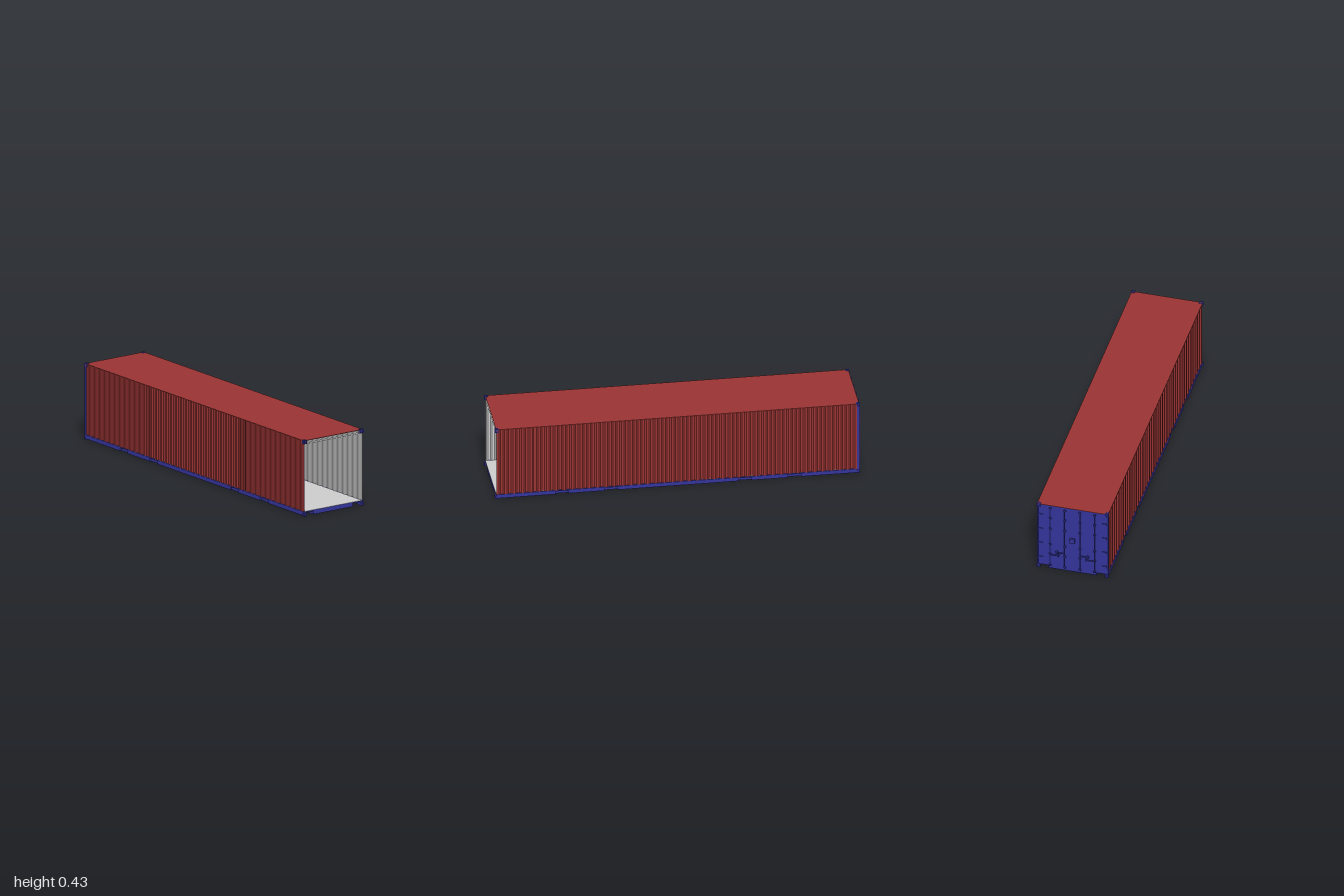
import * as THREE from 'three';

const mat = (color, side = THREE.FrontSide) => new THREE.MeshStandardMaterial({ color, side, flatShading: true });
const red = mat(0x993333), blue = mat(0x333399), grey = mat(0xcccccc);

function add(parent, name, geometry, material) {
  const mesh = new THREE.Mesh(geometry, material);
  mesh.name = name;
  parent.add(mesh);
  return mesh;
}

// Box given by its limits on each axis
function box(parent, name, [x0, x1], [y0, y1], [z0, z1], material = blue) {
  const mesh = add(parent, name, new THREE.BoxGeometry(Math.abs(x1 - x0), y1 - y0, z1 - z0), material);
  mesh.position.set((x0 + x1) / 2, (y0 + y1) / 2, (z0 + z1) / 2);
  return mesh;
}

// Upright folded sheet following [x, z] points
function sheet(points, y0, y1, flip) {
  const pos = [];
  for (let i = 0; i < points.length - 1; i++) {
    const [a, b] = flip ? [points[i + 1], points[i]] : [points[i], points[i + 1]];
    const A = [a[0], y0, a[1]], B = [b[0], y0, b[1]], C = [b[0], y1, b[1]], D = [a[0], y1, a[1]];
    pos.push(...A, ...B, ...C, ...A, ...C, ...D);
  }
  const g = new THREE.BufferGeometry();
  g.setAttribute('position', new THREE.Float32BufferAttribute(pos, 3));
  g.computeVertexNormals();
  return g;
}

// Corrugated side wall: red outside, grey inside
function sideWall(name) {
  const wall = new THREE.Group();
  wall.name = name;
  const ridges = 44, pitch = 1.984 / (ridges - 0.4), outer = 0.1985, inner = 0.192;
  const points = [];
  for (let i = 0; i < ridges; i++) {
    const z = 0.992 - i * pitch;
    points.push([outer, z], [outer, z - pitch * 0.3], [inner, z - pitch * 0.5]);
    points.push([inner, i < ridges - 1 ? z - pitch * 0.8 : z - pitch * 0.6]);
  }
  add(wall, 'wallOutside', sheet(points, 0.024, 0.422, false), red);
  add(wall, 'wallInside', sheet(points.map(([x, z]) => [x - 0.0006, z]), 0.024, 0.422, true), grey);
  return wall;
}

// Corner casting: solid core with a slotted plate on each outer face
function cornerFitting(sx, sy, sz) {
  const g = new THREE.Group();
  g.name = 'cornerFitting';
  const s = 0.02, t = 0.004, h = s / 2;
  const shape = new THREE.Shape([[-h, -h], [h, -h], [h, h], [-h, h]].map(p => new THREE.Vector2(...p)));
  const slot = new THREE.Path();
  slot.absellipse(0, 0, 0.0042, 0.0065, 0, Math.PI * 2, true);
  shape.holes.push(slot);
  const plate = new THREE.ExtrudeGeometry(shape, { depth: t, bevelEnabled: false, curveSegments: 6 });
  plate.translate(0, 0, -t / 2);
  const core = add(g, 'fittingCore', new THREE.BoxGeometry(s - t, s - t, s - t), blue);
  core.position.set(-sx * t / 2, -sy * t / 2, -sz * t / 2);
  const off = h - t / 2;
  add(g, 'fittingEndPlate', plate, blue).position.z = sz * off;
  const side = add(g, 'fittingSidePlate', plate, blue);
  side.rotation.y = Math.PI / 2;
  side.position.x = sx * off;
  const cap = add(g, 'fittingCapPlate', plate, blue);
  cap.rotation.x = Math.PI / 2;
  cap.position.y = sy * off;
  g.position.set(sx * 0.19, sy > 0 ? 0.415 : 0.01, sz > 0 ? 0.99 : -0.982);
  return g;
}

function underframe() {
  const g = new THREE.Group();
  g.name = 'underframe';
  box(g, 'deck', [-0.193, 0.193], [0.02, 0.0255], [-0.985, 0.993]);
  box(g, 'floor', [-0.192, 0.192], [0.0255, 0.0265], [-0.978, 0.993], grey);
  box(g, 'centreBed', [-0.134, 0.134], [0.001, 0.02], [-0.985, 0.993]);
  for (const s of [-1, 1]) {
    // Beds leave open recesses at both ends and at the middle
    for (const z of [[-0.9, -0.07], [0.09, 0.91]]) {
      box(g, 'sideBed', [s * 0.134, s * 0.18], [0.001, 0.02], z);
    }
    // Side rail with shallow fork pockets
    const cuts = [-0.972, -0.67, -0.6, -0.4, -0.33, 0.33, 0.4, 0.6, 0.67, 0.98];
    for (let i = 0; i < cuts.length - 1; i++) {
      const pocket = i % 2 === 1;
      box(g, pocket ? 'forkPocket' : 'bottomRail', [s * 0.18, s * (pocket ? 0.19 : 0.199)], [0.003, 0.0205],
        [cuts[i], cuts[i + 1]]);
    }
    box(g, 'railTop', [s * 0.18, s * 0.199], [0.0205, 0.0255], [-0.985, 0.993]);
  }
  return g;
}

function doorEnd() {
  const g = new THREE.Group();
  g.name = 'doorEnd';
  box(g, 'header', [-0.192, 0.192], [0.402, 0.421], [-0.988, -0.97]);
  box(g, 'sill', [-0.192, 0.192], [0.02, 0.029], [-0.988, -0.972]);
  box(g, 'doorSeal', [-0.004, 0.004], [0.029, 0.402], [-0.984, -0.977]);
  for (const s of [-1, 1]) {
    box(g, 'cornerPost', [s * 0.191, s * 0.199], [0.02, 0.406], [-0.99, -0.975]);
    box(g, 'door', [s * 0.001, s * 0.191], [0.029, 0.402], [-0.988, -0.977]);
    // Hinges
    for (const y of [0.07, 0.165, 0.26, 0.355]) {
      box(g, 'hinge', [s * 0.165, s * 0.192], [y - 0.004, y + 0.004], [-0.992, -0.987]);
      const pin = add(g, 'hingePin', new THREE.CylinderGeometry(0.003, 0.003, 0.014, 8), blue);
      pin.position.set(s * 0.191, y, -0.991);
    }
    // Locking bars with keepers and guides
    for (const x of [0.042, 0.124]) {
      const bar = add(g, 'lockingBar', new THREE.CylinderGeometry(0.0028, 0.0028, 0.39, 8), blue);
      bar.position.set(s * x, 0.216, -0.993);
      for (const y of [0.026, 0.1, 0.165, 0.27, 0.34, 0.406]) {
        box(g, 'barGuide', [s * x - 0.006, s * x + 0.006], [y - 0.004, y + 0.004], [-0.997, -0.987]);
      }
      // Handle and its catch
      const y = x < 0.1 ? 0.12 : 0.1;
      const tip = x < 0.1 ? x + 0.045 : x - 0.045;
      box(g, 'handle', [s * x, s * tip], [y - 0.0025, y + 0.0025], [-0.999, -0.995]);
      box(g, 'handleCatch', [s * tip - 0.005, s * tip + 0.005], [y - 0.006, y + 0.006], [-1, -0.987]);
    }
  }
  box(g, 'lockBox', [-0.013, 0.013], [0.198, 0.226], [-1, -0.987]);
  return g;
}

export function createModel() {
  const model = new THREE.Group();
  model.name = 'shippingContainer';

  // Walls: the second is the first turned half round
  const left = sideWall('leftWall');
  const right = sideWall('rightWall');
  right.rotation.y = Math.PI;
  model.add(left, right);

  // Roof with grey ceiling and the lintel of the open end
  box(model, 'roof', [-0.1985, 0.1985], [0.4205, 0.4225], [-0.988, 0.993], red);
  box(model, 'ceiling', [-0.192, 0.192], [0.4195, 0.4205], [-0.97, 0.993], grey);
  box(model, 'openEndLintel', [-0.192, 0.192], [0.402, 0.403], [0.97, 0.993], grey);

  model.add(underframe(), doorEnd());
  for (const sx of [-1, 1]) for (const sy of [-1, 1]) for (const sz of [-1, 1]) {
    model.add(cornerFitting(sx, sy, sz));
  }
  return model;
}
